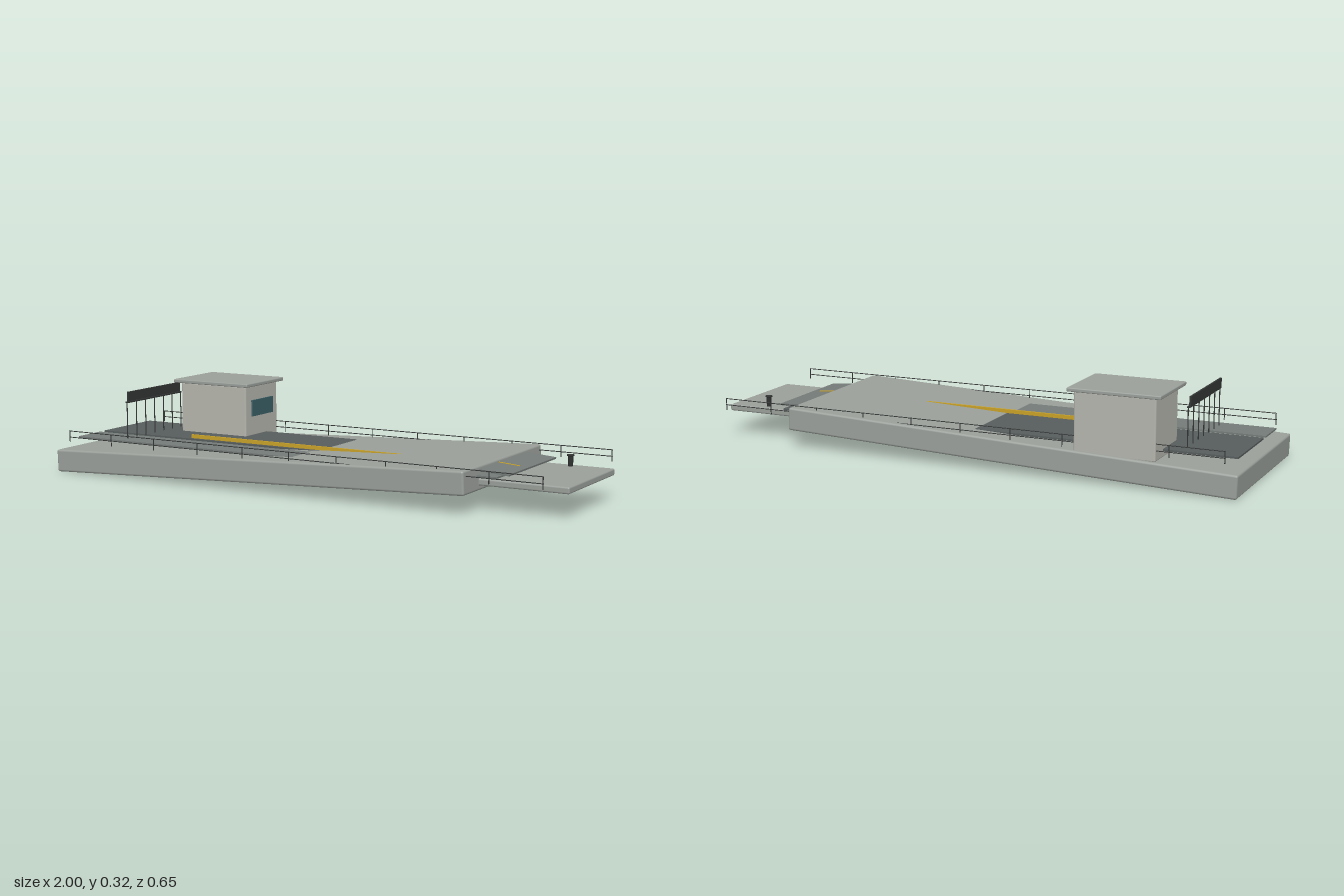
import * as THREE from 'three';
import { RoundedBoxGeometry } from 'three/addons/geometries/RoundedBoxGeometry.js';

const mat = (color) => new THREE.MeshStandardMaterial({ color });

export function createModel() {
  const root = new THREE.Group();
  const concrete = mat(0x9a9f9a), darkDeck = mat(0x575c5c), midDeck = mat(0x747b78);
  const wall = mat(0xb5b5ad), dark = mat(0x333635), glass = mat(0x3b5f66), yellow = mat(0xc9a227);

  const place = (parent, name, geometry, material, x, y, z) => {
    const mesh = new THREE.Mesh(geometry, material);
    mesh.name = name;
    mesh.position.set(x, y, z);
    parent.add(mesh);
    return mesh;
  };
  // box given by its min and max on each axis; r rounds the edges
  const box = (parent, name, material, [x0, x1], [y0, y1], [z0, z1], r = 0) => {
    const s = [x1 - x0, y1 - y0, z1 - z0];
    const g = r ? new RoundedBoxGeometry(...s, 2, r) : new THREE.BoxGeometry(...s);
    return place(parent, name, g, material, (x0 + x1) / 2, (y0 + y1) / 2, (z0 + z1) / 2);
  };

  // sloping slab and landing
  const slab = box(root, 'slopingSlab', concrete, [-1, 0.678], [0.036, 0.119], [-0.318, 0.324], 0.008);
  slab.rotation.z = 0.04;
  box(root, 'landing', concrete, [0.6, 1], [0.087, 0.111], [-0.198, 0.207], 0.006);

  // level decks that run into the slab
  box(root, 'wideDeck', darkDeck, [-0.975, 0.75], [0.118, 0.1245], [-0.23, 0.063]);
  box(root, 'narrowDeck', midDeck, [-0.975, 0.75], [0.118, 0.124], [0.092, 0.223]);

  // tilted flap at the landing end
  const flap = new THREE.Group();
  flap.name = 'endFlap';
  flap.position.set(0.7, 0.136, 0.003);
  flap.rotation.z = -0.08;
  box(flap, 'flapPlate', midDeck, [-0.085, 0.085], [-0.003, 0.003], [-0.198, 0.198]);
  box(flap, 'flapStripe', yellow, [-0.06, 0.055], [0.003, 0.0045], [0.038, 0.046]);
  root.add(flap);

  // guide line along the deck
  box(root, 'guideStripe', yellow, [-0.58, 0.3], [0.123, 0.138], [0.042, 0.05]);

  // cabin
  const cabin = new THREE.Group();
  cabin.name = 'cabin';
  box(cabin, 'cabinWalls', wall, [-0.715, -0.424], [0.095, 0.312], [-0.305, -0.083], 0.006);
  box(cabin, 'roof', concrete, [-0.737, -0.405], [0.311, 0.325], [-0.325, -0.063], 0.004);
  box(cabin, 'window', glass, [-0.428, -0.417], [0.196, 0.257], [-0.265, -0.122]);
  root.add(cabin);

  // board on a row of posts
  const screen = new THREE.Group();
  screen.name = 'boardOnPosts';
  for (let i = 0; i < 7; i++) {
    place(screen, 'boardPost', new THREE.CylinderGeometry(0.002, 0.002, 0.14, 8), dark, -0.78, 0.192, 0.178 - i * 0.0578);
  }
  box(screen, 'crossBar', dark, [-0.785, -0.776], [0.258, 0.263], [-0.17, 0.18]);
  box(screen, 'board', dark, [-0.79, -0.783], [0.262, 0.298], [-0.17, 0.165]);
  root.add(screen);

  // railings on both sides
  for (const z of [0.306, -0.298]) {
    const railing = new THREE.Group();
    railing.name = 'railing';
    for (let i = 0; i < 11; i++) {
      place(railing, 'railingPost', new THREE.CylinderGeometry(0.0018, 0.0018, 0.043, 8), dark, -0.95 + i * 0.19, 0.1365, z);
    }
    for (const y of [0.157, 0.134]) {
      const rail = place(railing, 'rail', new THREE.CylinderGeometry(0.0016, 0.0016, 1.905, 8), dark, 0, y, z);
      rail.rotation.z = Math.PI / 2;
    }
    root.add(railing);
  }

  // mooring bollard
  const bollard = [[0, 0.11], [0.009, 0.11], [0.009, 0.146], [0.013, 0.147], [0.013, 0.151], [0, 0.151]];
  place(root, 'bollard', new THREE.LatheGeometry(bollard.map((p) => new THREE.Vector2(...p)), 16), dark, 0.85, 0, -0.167);

  return root;
}
